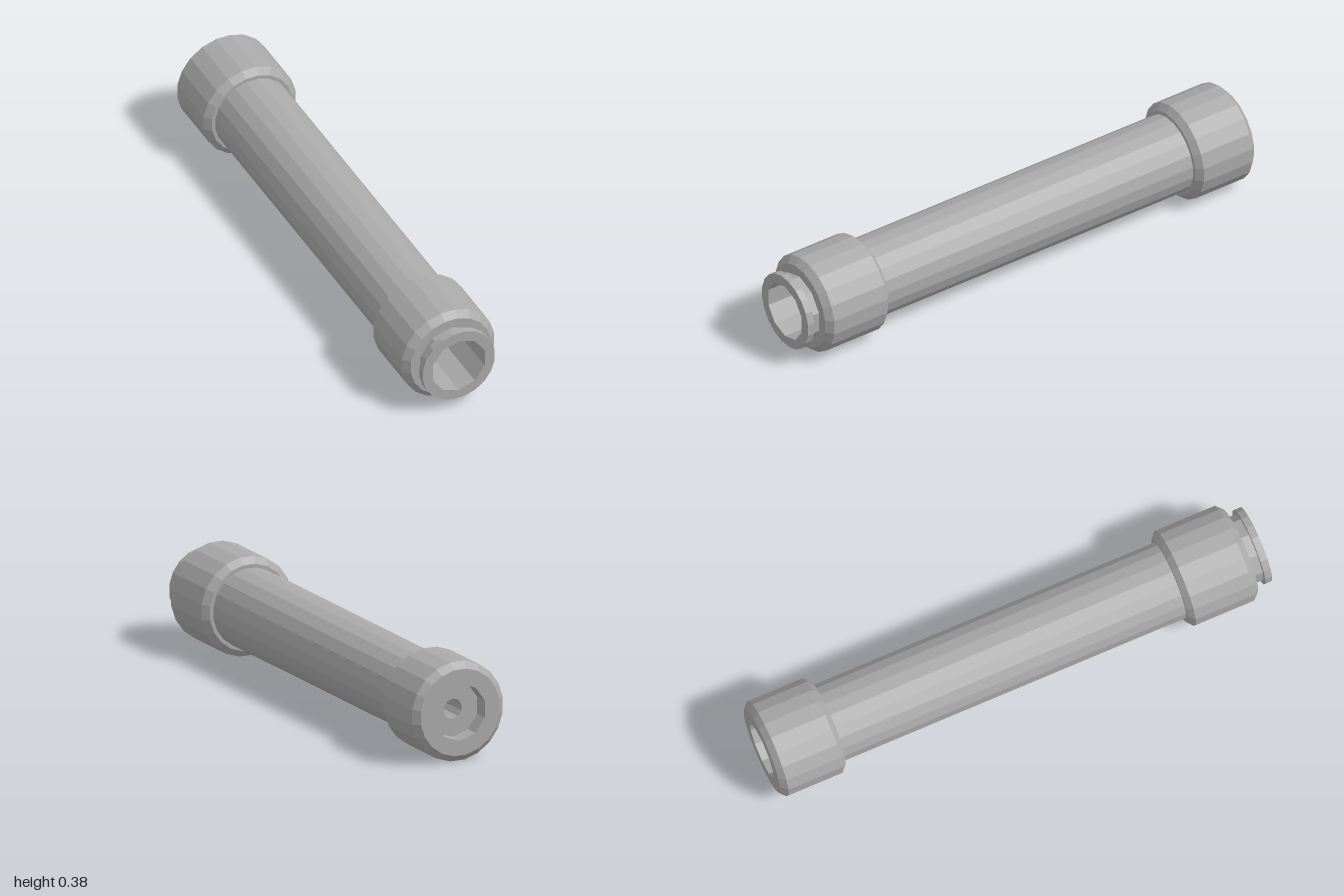
import * as THREE from 'three';

const AXIS_Y = 0.19;

export function createModel() {
  const model = new THREE.Group();
  model.name = 'barrelTube';
  const grey = new THREE.MeshStandardMaterial({ color: 0xaaaaaa, flatShading: true });
  grey.name = 'metalGrey';

  const add = (name, geometry) => {
    const mesh = new THREE.Mesh(geometry, grey);
    mesh.name = name;
    mesh.position.y = AXIS_Y;
    model.add(mesh);
    return mesh;
  };

  // Turned part along z from [radius, z] pairs; 20 sides are flat on top, 10 sides have a corner on top
  const turned = (name, sides, profile) => {
    const points = profile.map(([r, z]) => new THREE.Vector2(r, z));
    const start = sides === 20 ? Math.PI / 20 : 0;
    add(name, new THREE.LatheGeometry(points, sides, start).rotateX(Math.PI / 2));
  };

  const polygon = (radius, sides) => Array.from({ length: sides }, (_, i) => {
    const a = Math.PI / 2 + ((i + (sides === 20 ? 0.5 : 0)) / sides) * Math.PI * 2;
    return new THREE.Vector2(radius * Math.cos(a), radius * Math.sin(a));
  });

  // Flat end face: 20-sided outline with a 10-sided opening
  const endFace = (name, outer, inner, z) => {
    const shape = new THREE.Shape(polygon(outer, 20));
    shape.holes.push(new THREE.Path(polygon(inner, 10)));
    const geometry = new THREE.ShapeGeometry(shape);
    if (z < 0) geometry.rotateY(Math.PI);
    add(name, geometry.translate(0, 0, z));
  };

  // Main tube and the two bevelled collars
  turned('mainTube', 20, [[0.153, -0.74], [0.153, 0.655]]);
  turned('frontCollar', 20, [
    [0.15, 0.65], [0.167, 0.65], [0.192, 0.672], [0.192, 0.91], [0.167, 0.935], [0.12, 0.935],
  ]);
  turned('rearCollar', 20, [
    [0.167, -1], [0.192, -0.977], [0.192, -0.757], [0.167, -0.735], [0.15, -0.735],
  ]);
  endFace('rearFace', 0.167, 0.108, -1);

  // Narrow neck and thin flange at the front
  turned('frontNeck', 10, [[0.132, 0.93], [0.132, 0.975]]);
  turned('frontFlange', 20, [[0.12, 0.972], [0.15, 0.972], [0.15, 1]]);
  endFace('frontFace', 0.15, 0.1125, 1);

  // Wide front socket, through bore and shallow rear recess
  turned('innerBore', 10, [
    [0.1125, 1], [0.1125, 0.66], [0.0385, 0.65], [0.0385, -0.94], [0.108, -0.94], [0.108, -1],
  ]);

  return model;
}
